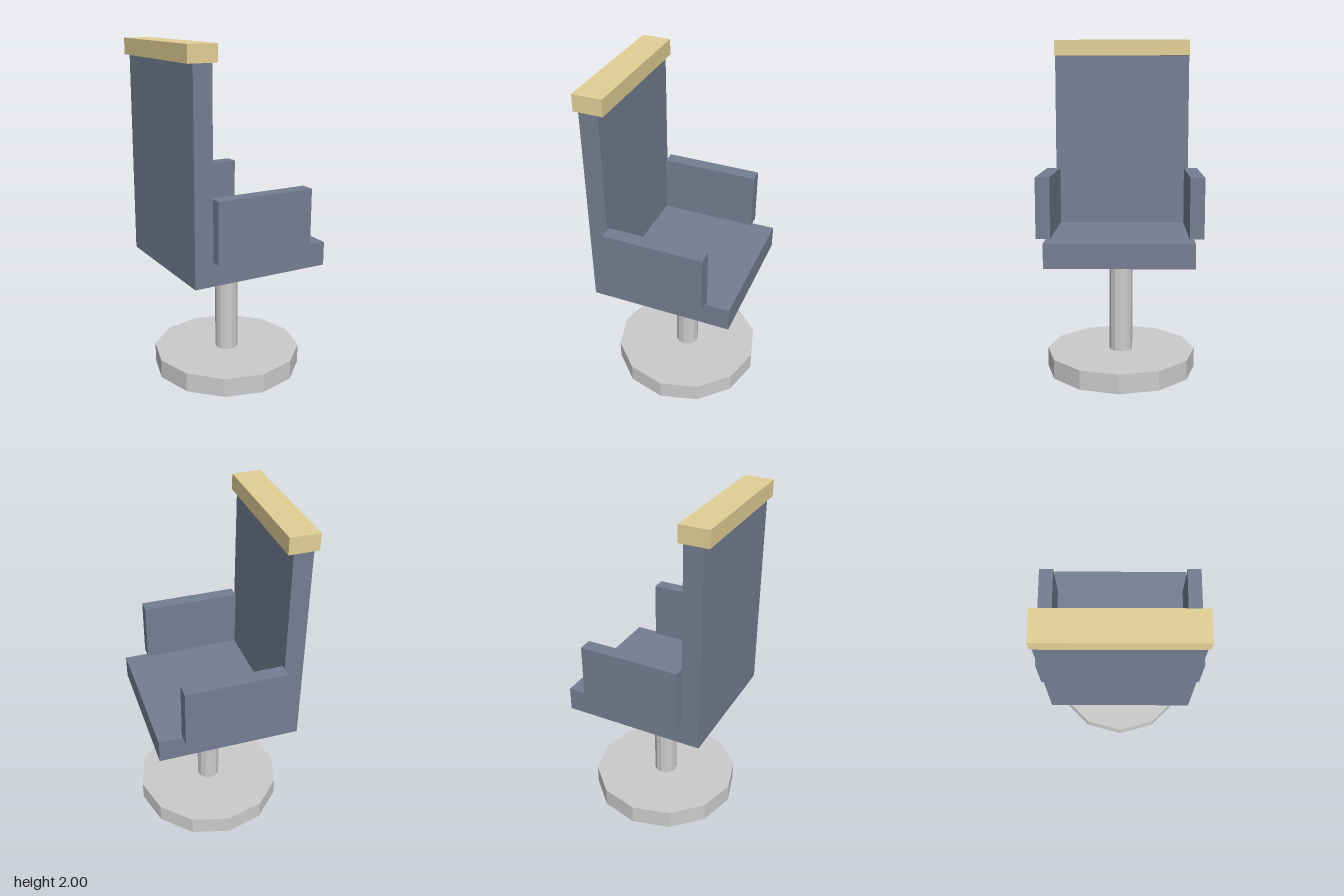
import * as THREE from 'three';

const material = (color) => new THREE.MeshStandardMaterial({ color, flatShading: true });

export function createModel() {
  const chair = new THREE.Group();
  chair.name = 'swivelChair';
  const metal = material(0xcccccc);
  const fabric = material(0x747e92);
  const trim = material(0xe3d096);

  const add = (name, geometry, mat, x, y, z) => {
    const mesh = new THREE.Mesh(geometry, mat);
    mesh.name = name;
    mesh.position.set(x, y, z);
    chair.add(mesh);
  };
  // Box given by its limits on each axis
  const box = (name, mat, [x0, x1], [y0, y1], [z0, z1]) =>
    add(name, new THREE.BoxGeometry(x1 - x0, y1 - y0, z1 - z0), mat,
      (x0 + x1) / 2, (y0 + y1) / 2, (z0 + z1) / 2);
  // Upright twelve-sided column between two heights
  const column = (name, radius, y0, y1) =>
    add(name, new THREE.CylinderGeometry(radius, radius, y1 - y0, 12), metal, 0, (y0 + y1) / 2, 0);

  // Pedestal
  column('base', 0.45, 0, 0.115);
  column('post', 0.07, 0.115, 0.71);

  // Seat and backrest; the chair opens towards +x
  box('seat', fabric, [-0.42, 0.42], [0.71, 0.85], [-0.42, 0.42]);
  box('backrest', fabric, [-0.42, -0.31], [0.85, 1.905], [-0.42, 0.42]);
  box('topRail', trim, [-0.45, -0.28], [1.905, 2], [-0.422, 0.422]);

  // Armrests, overhanging the seat sides
  box('armrestFront', fabric, [-0.31, 0.28], [0.85, 1.2], [0.395, 0.478]);
  box('armrestRear', fabric, [-0.31, 0.28], [0.85, 1.2], [-0.478, -0.395]);

  return chair;
}
